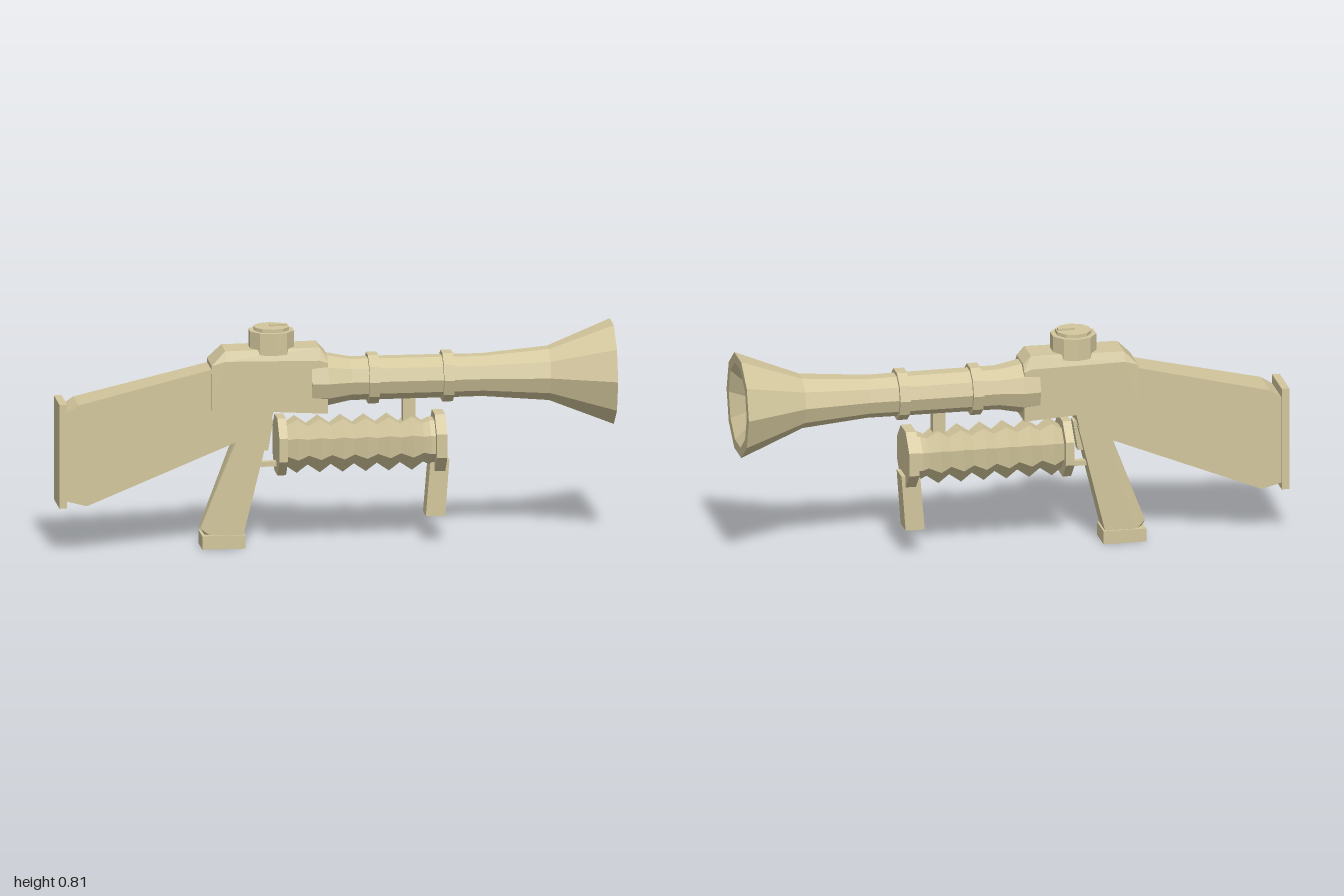
import * as THREE from 'three';
import { ConvexGeometry } from 'three/addons/geometries/ConvexGeometry.js';

export function createModel() {
  const model = new THREE.Group();
  const tan = new THREE.MeshStandardMaterial({ color: 0xd2c69c });
  tan.name = 'tan';

  function add(name, geometry, x = 0, y = 0, z = 0) {
    const mesh = new THREE.Mesh(geometry, tan);
    mesh.name = name;
    mesh.position.set(x, y, z);
    model.add(mesh);
    return mesh;
  }
  const flat = (g) => {
    const f = g.index ? g.toNonIndexed() : g;
    f.computeVertexNormals();
    return f;
  };
  // convex solid from [x, y, halfDepth] points mirrored in z
  const solid = (pts) => new ConvexGeometry(
    pts.flatMap(([x, y, d]) => [new THREE.Vector3(x, y, d), new THREE.Vector3(x, y, -d)]));
  // faceted turned part along x from [x, radius] points
  const turned = (pts, sides, phase = 0) => flat(
    new THREE.LatheGeometry(pts.map(([x, r]) => new THREE.Vector2(r, x)), sides, phase).rotateZ(-Math.PI / 2));
  const box = (name, x0, x1, y0, y1, d) =>
    add(name, new THREE.BoxGeometry(x1 - x0, y1 - y0, d * 2), (x0 + x1) / 2, (y0 + y1) / 2);

  // Stock, tapering towards the receiver
  const stockDepth = (x) => 0.064 + (-0.45 - x) * 0.027;
  add('stock', solid([[-0.45, 0.66], [-0.93, 0.545], [-0.975, 0.515], [-0.975, 0.195],
    [-0.9, 0.175], [-0.24, 0.44], [-0.225, 0.5]].map(([x, y]) => [x, y, stockDepth(x)])));
  box('buttPlate', -1, -0.972, 0.17, 0.55, 0.083);

  // Receiver with bevelled top
  add('receiver', solid([
    [-0.45, 0.515, 0.075], [-0.45, 0.675, 0.072],
    [-0.4, 0.69, 0.075], [-0.4, 0.725, 0.06],
    [-0.06, 0.685, 0.075], [-0.06, 0.73, 0.058],
    [-0.032, 0.675, 0.075], [-0.032, 0.70, 0.055], [-0.032, 0.49, 0.075],
  ]));

  // Dial on top
  add('dial', flat(new THREE.CylinderGeometry(0.083, 0.083, 0.08, 10)), -0.227, 0.748);
  add('dialCap', flat(new THREE.CylinderGeometry(0.065, 0.065, 0.015, 10)), -0.227, 0.793);
  box('dialRidge', -0.232, -0.17, 0.797, 0.808, 0.007);

  // Barrel with flared, hollow bell
  const axisY = 0.602;
  add('barrel', turned([[-0.09, 0], [-0.09, 0.092], [-0.03, 0.096], [0.055, 0.079], [0.4, 0.078],
    [0.53, 0.077], [0.77, 0.098], [1, 0.19], [1, 0.153], [0.88, 0]], 10), 0, axisY);
  for (const x of [0.137, 0.405]) {
    add('barrelBand', turned([[-0.019, 0], [-0.019, 0.093], [0.019, 0.093], [0.019, 0]], 10), x, axisY);
  }

  // Corrugated foregrip
  const gripY = 0.366, r8 = 1 / Math.cos(Math.PI / 8);
  const ribs = [[-0.2, 0], [-0.2, 0.07 * r8]];
  for (let i = 0; i < 6; i++) {
    ribs.push([-0.182 + i * 0.083, 0.07 * r8], [-0.14 + i * 0.083, 0.097 * r8]);
  }
  ribs.push([0.316, 0.07 * r8], [0.34, 0.08 * r8], [0.37, 0.08 * r8], [0.37, 0]);
  add('foregrip', turned(ribs, 8, Math.PI / 8), 0, gripY);
  for (const [a, b] of [[-0.21, -0.179], [0.357, 0.395]]) {
    const r = 0.104 * r8;
    add('foregripFlange', turned([[a, 0], [a, r], [b, r], [b, 0]], 8, Math.PI / 8), 0, gripY);
  }
  box('foregripPost', 0.245, 0.29, 0.4, 0.56, 0.022);
  box('linkRod', -0.3, -0.2, 0.288, 0.306, 0.012);
  add('frontHandle', solid([[0.325, 0.098, 0.042], [0.395, 0.098, 0.042],
    [0.41, 0.303, 0.042], [0.342, 0.303, 0.042]]));

  // Rear grip with a narrow back ridge and a foot
  add('rearGrip', solid([
    [-0.335, 0.04, 0.05], [-0.44, 0.04, 0.05], [-0.465, 0.04, 0.022], [-0.485, 0.07, 0.022],
    [-0.235, 0.45, 0.05], [-0.34, 0.44, 0.05], [-0.365, 0.385, 0.022],
  ]));
  box('gripFoot', -0.482, -0.326, 0, 0.049, 0.057);
  add('gripBrace', solid([[-0.3, 0.46, 0.02], [-0.222, 0.46, 0.02], [-0.24, 0.35, 0.02], [-0.3, 0.35, 0.02]]));

  return model;
}
